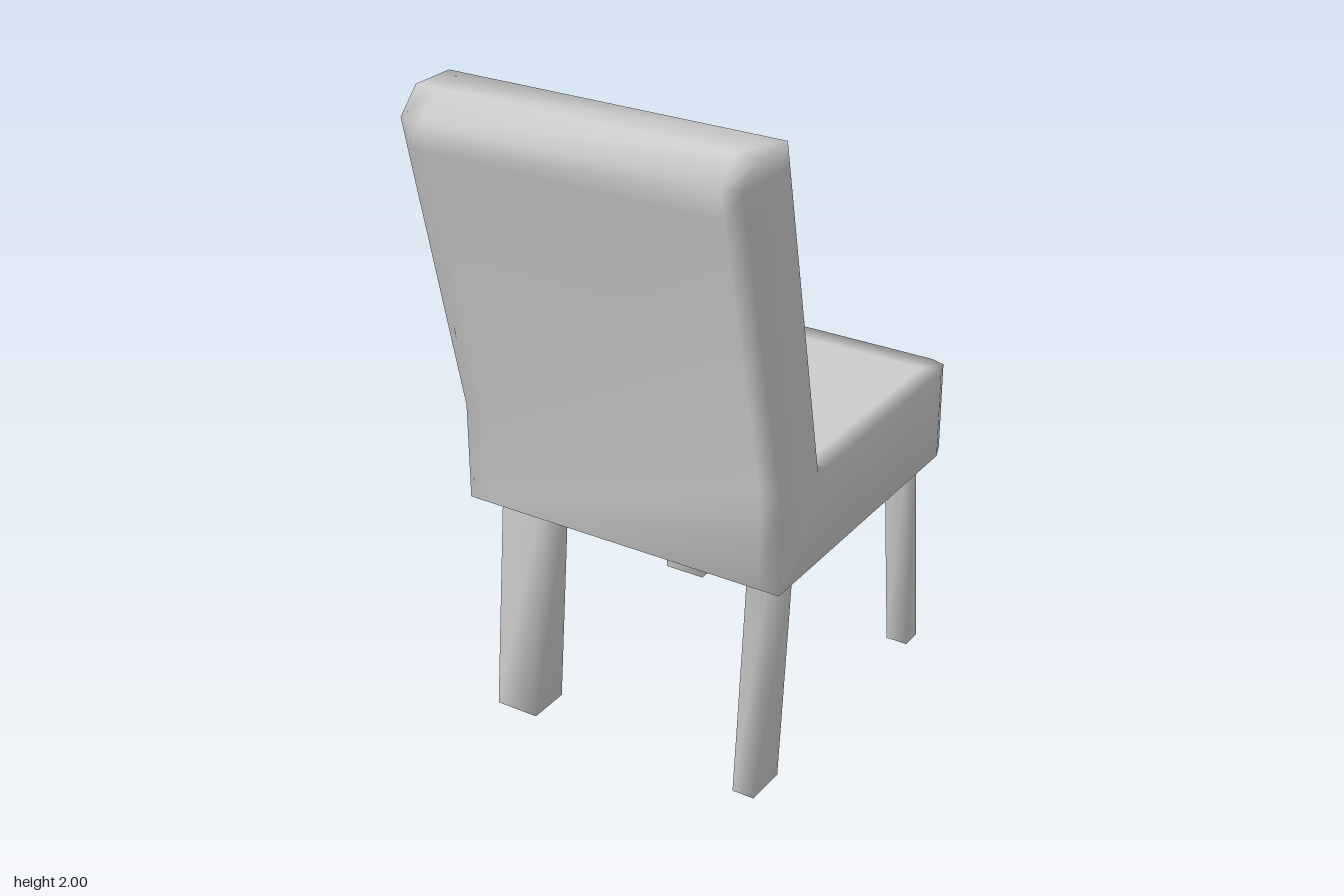
import * as THREE from 'three';
import { mergeVertices } from 'three/addons/utils/BufferGeometryUtils.js';

const material = new THREE.MeshStandardMaterial({ color: 0xcccccc });

// Reshapes a segmented box by a rule, welds it and smooths its normals.
function shapedBox(name, nx, ny, nz, rule) {
  let geo = new THREE.BoxGeometry(1, 1, 1, nx, ny, nz);
  const p = geo.attributes.position;
  for (let i = 0; i < p.count; i++) {
    const ix = Math.round((p.getX(i) + 0.5) * nx);
    const iy = Math.round((p.getY(i) + 0.5) * ny);
    const iz = Math.round((p.getZ(i) + 0.5) * nz);
    p.setXYZ(i, ...rule(ix, iy, iz));
  }
  geo.deleteAttribute('normal');
  geo.deleteAttribute('uv');
  geo = mergeVertices(geo, 1e-5);
  geo.computeVertexNormals();
  const mesh = new THREE.Mesh(geo, material);
  mesh.name = name;
  return mesh;
}

// Stations from the seat's front edge to the top of the backrest:
// outer (z, y), then inner (z, y).
const stations = [
  [-0.615, 0.70, -0.615, 0.98],
  [-0.545, 0.70, -0.545, 0.98],
  [0.335, 0.70, 0.10, 0.98],
  [0.405, 0.70, 0.15, 0.98],
  [0.405, 1.00, 0.203, 0.985],
  [0.595, 1.84, 0.377, 1.86],
  [0.615, 1.93, 0.391, 1.93],
  [0.545, 2.00, 0.405, 2.00],
];
const columns = [-0.52, -0.455, 0.455, 0.52];

function seatAndBack() {
  return shapedBox('seatAndBackrest', 3, 1, stations.length - 1, (ix, iy, iz) => {
    let x = columns[ix];
    let [z, y] = stations[iz].slice(iy * 2, iy * 2 + 2);
    // Clipped front corners of the seat
    if (iz === 0 && (ix === 0 || ix === 3)) {
      x = Math.sign(x) * 0.50;
      z += 0.015;
    }
    return [x, y, z];
  });
}

// Square leg that leans along z from the seat to the floor.
function leg(name, [x0, x1], [foot0, foot1], lean) {
  return shapedBox(name, 1, 1, 1, (ix, iy, iz) => [
    ix ? x1 : x0,
    iy * 0.70,
    (iz ? foot1 : foot0) + iy * lean,
  ]);
}

export function createModel() {
  const chair = new THREE.Group();
  chair.name = 'chair';
  chair.add(seatAndBack());

  // The legs are thicker on one side and at the backrest end
  const thick = [-0.455, -0.315];
  const thin = [0.38, 0.45];
  for (const [side, xs] of [['Thick', thick], ['Thin', thin]]) {
    chair.add(leg('backLeg' + side, xs, [0.27, 0.405], -0.068));
    chair.add(leg('frontLeg' + side, xs, [-0.615, -0.545], 0.07));
  }
  return chair;
}
